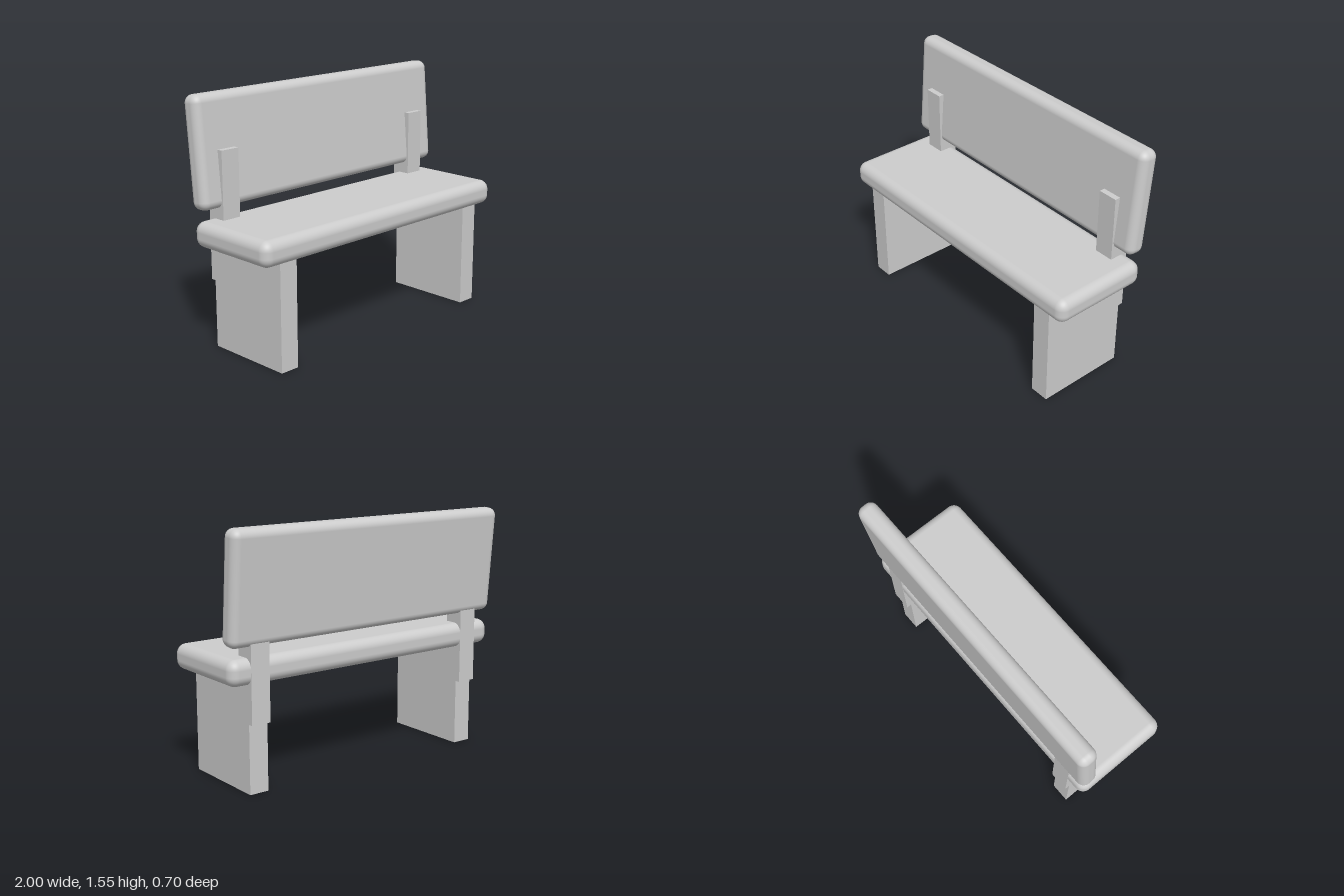
import * as THREE from 'three';
import { RoundedBoxGeometry } from 'three/addons/geometries/RoundedBoxGeometry.js';

export function createModel() {
  const bench = new THREE.Group();
  bench.name = 'bench';

  const paint = new THREE.MeshStandardMaterial({ color: 0xcccccc });
  paint.name = 'lightGrey';

  const add = (name, geometry, x, y, z) => {
    const mesh = new THREE.Mesh(geometry, paint);
    mesh.name = name;
    mesh.position.set(x, y, z);
    bench.add(mesh);
    return mesh;
  };

  // Cushioned seat and backrest, the backrest leaning slightly to the rear
  add('seat', new RoundedBoxGeometry(2, 0.158, 0.642, 6, 0.06), 0, 0.73, 0.03);
  const backrest = add('backrest', new RoundedBoxGeometry(2, 0.674, 0.126, 6, 0.05), 0, 1.212, -0.263);
  backrest.rotation.x = -0.083;

  // Slab legs with an upright post behind each, carrying the backrest
  const legGeometry = new THREE.BoxGeometry(0.125, 0.72, 0.58);
  const postGeometry = new THREE.BoxGeometry(0.125, 0.805, 0.127);
  for (const [side, sign] of [['left', 1], ['right', -1]]) {
    add(side + 'Leg', legGeometry, sign * 0.805, 0.36, 0.03);
    add(side + 'Post', postGeometry, sign * 0.805, 0.8235, -0.2285);
  }

  return bench;
}
